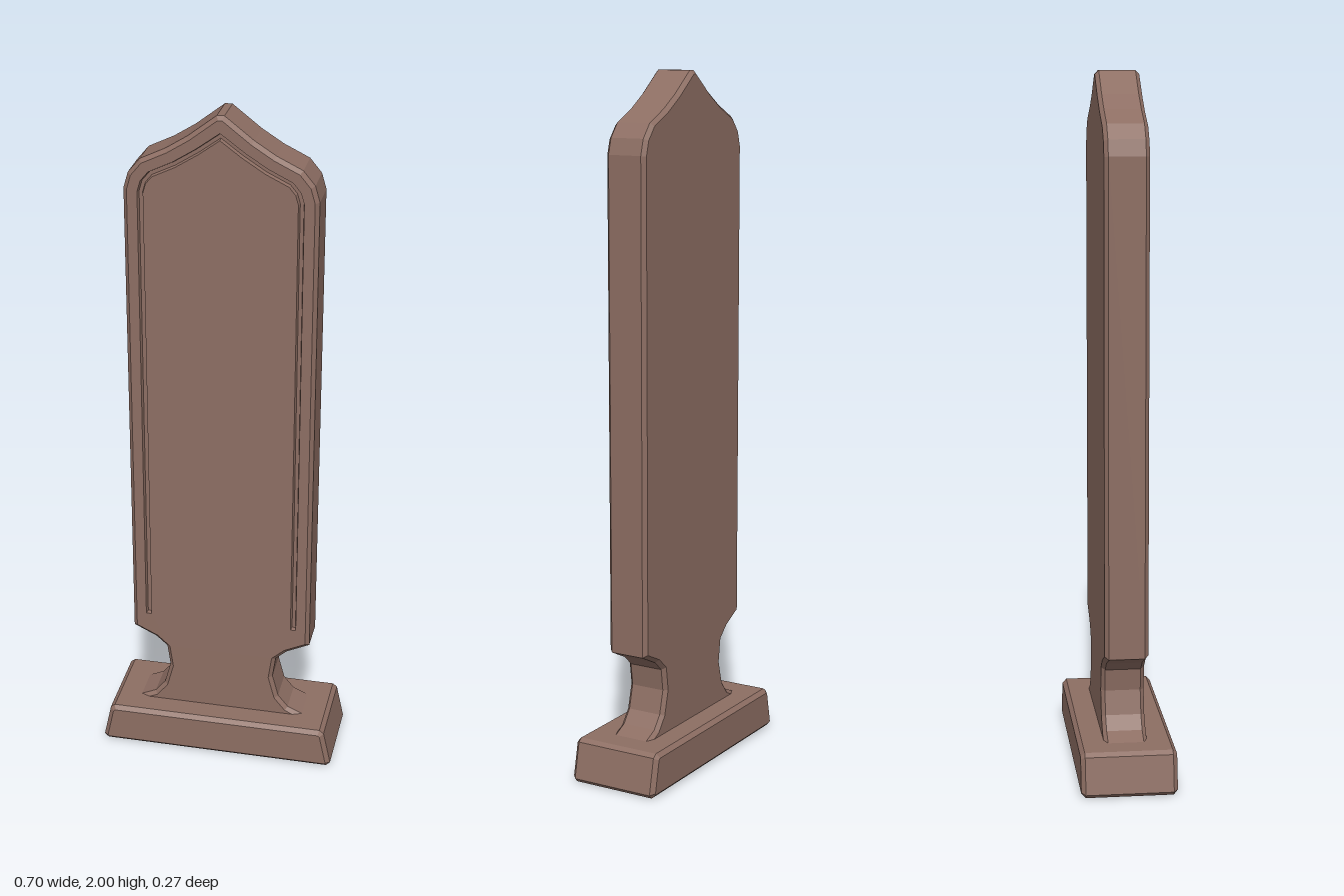
import * as THREE from 'three';

const material = new THREE.MeshStandardMaterial({ color: 0x8d6e63, flatShading: true });

const vec = ([x, y]) => new THREE.Vector2(x, y);

// right-hand points listed bottom to top -> closed counter-clockwise outline
function mirrored(half) {
  const left = half.filter(([x]) => x > 0).map(([x, y]) => [-x, y]).reverse();
  return [...half, ...left].map(vec);
}

// move every edge of a counter-clockwise outline inwards by d
function inset(points, d) {
  const n = points.length;
  const normal = (a, b) => new THREE.Vector2(a.y - b.y, b.x - a.x).normalize();
  return points.map((p, i) => {
    const n1 = normal(points[(i + n - 1) % n], p);
    const n2 = normal(p, points[(i + 1) % n]);
    return p.clone().addScaledVector(n1.clone().add(n2), d / (1 + n1.dot(n2)));
  });
}

// band of quads from outline a at depth za to outline b at depth zb
function band(a, za, b, zb) {
  const pos = [];
  a.forEach((p, i) => {
    const j = (i + 1) % a.length;
    const A = [p.x, p.y, za], B = [a[j].x, a[j].y, za];
    const C = [b[j].x, b[j].y, zb], D = [b[i].x, b[i].y, zb];
    pos.push(...A, ...B, ...C, ...A, ...C, ...D);
  });
  const geometry = new THREE.BufferGeometry();
  geometry.setAttribute('position', new THREE.Float32BufferAttribute(pos, 3));
  geometry.computeVertexNormals();
  return geometry;
}

// flat face at depth z, optionally with a hole or facing backwards
function cap(points, z, hole, back) {
  const shape = new THREE.Shape(points);
  if (hole) shape.holes.push(new THREE.Path(hole));
  const geometry = new THREE.ShapeGeometry(shape);
  if (back) geometry.scale(-1, 1, 1).rotateY(Math.PI);
  if (back) {
    // undo the mirroring of the winding so the face points to -z
    geometry.scale(1, 1, -1);
    const index = geometry.index;
    for (let i = 0; i < index.count; i += 3) {
      const t = index.getX(i);
      index.setX(i, index.getX(i + 1));
      index.setX(i + 1, t);
    }
    geometry.computeVertexNormals();
  }
  return geometry.translate(0, 0, z);
}

function part(name, geometries) {
  const group = new THREE.Group();
  group.name = name;
  for (const geometry of geometries) {
    const mesh = new THREE.Mesh(geometry, material);
    mesh.name = name + 'Surface';
    group.add(mesh);
  }
  return group;
}

export function createModel() {
  const model = new THREE.Group();
  model.name = 'headstone';

  // plinth: tapered block with chamfered edges
  const plinth = mirrored([
    [0.34, 0], [0.352, 0.012], [0.33, 0.115], [0.317, 0.125],
  ]);
  const plinthFace = inset(plinth, 0.012);
  model.add(part('plinth', [
    cap(plinthFace, -0.137, null, true),
    band(plinthFace, -0.137, plinth, -0.125),
    band(plinth, -0.125, plinth, 0.124),
    band(plinth, 0.124, plinthFace, 0.136),
    cap(plinthFace, 0.136),
  ]));

  // slab outline: waisted foot, straight sides, pointed ogee top
  const foot = [
    [0.25, 0.1], [0.25, 0.125], [0.206, 0.145], [0.176, 0.182], [0.158, 0.25],
    [0.167, 0.315], [0.2, 0.345], [0.268, 0.378],
  ];
  const shoulder = [
    [0.268, 1.78], [0.255, 1.825], [0.222, 1.865], [0.15, 1.9], [0.09, 1.938],
  ];
  const slab = mirrored([...foot, ...shoulder, [0.01, 2]]);
  const slabFace = inset(slab, 0.011);

  // groove following the sides and top of the front face
  const arch = mirrored([[0.268, 0.39], ...shoulder, [0, 2.004]]);
  const edge = (d) => {
    const line = inset(arch, d);
    line[0].y = line[line.length - 1].y = 0.43;
    return line;
  };
  const groove = [...edge(0.04), ...edge(0.056).reverse()];
  const grooveFloor = inset(groove, 0.003);
  const front = 0.061, depth = 0.012;

  model.add(part('slab', [
    cap(slabFace, -0.063, null, true),
    band(slabFace, -0.063, slab, -0.052),
    band(slab, -0.052, slab, 0.05),
    band(slab, 0.05, slabFace, front),
    cap(slabFace, front, groove),
  ]));
  model.add(part('frontGroove', [
    band([...grooveFloor].reverse(), front - depth, [...groove].reverse(), front),
    cap(grooveFloor, front - depth),
  ]));

  return model;
}
